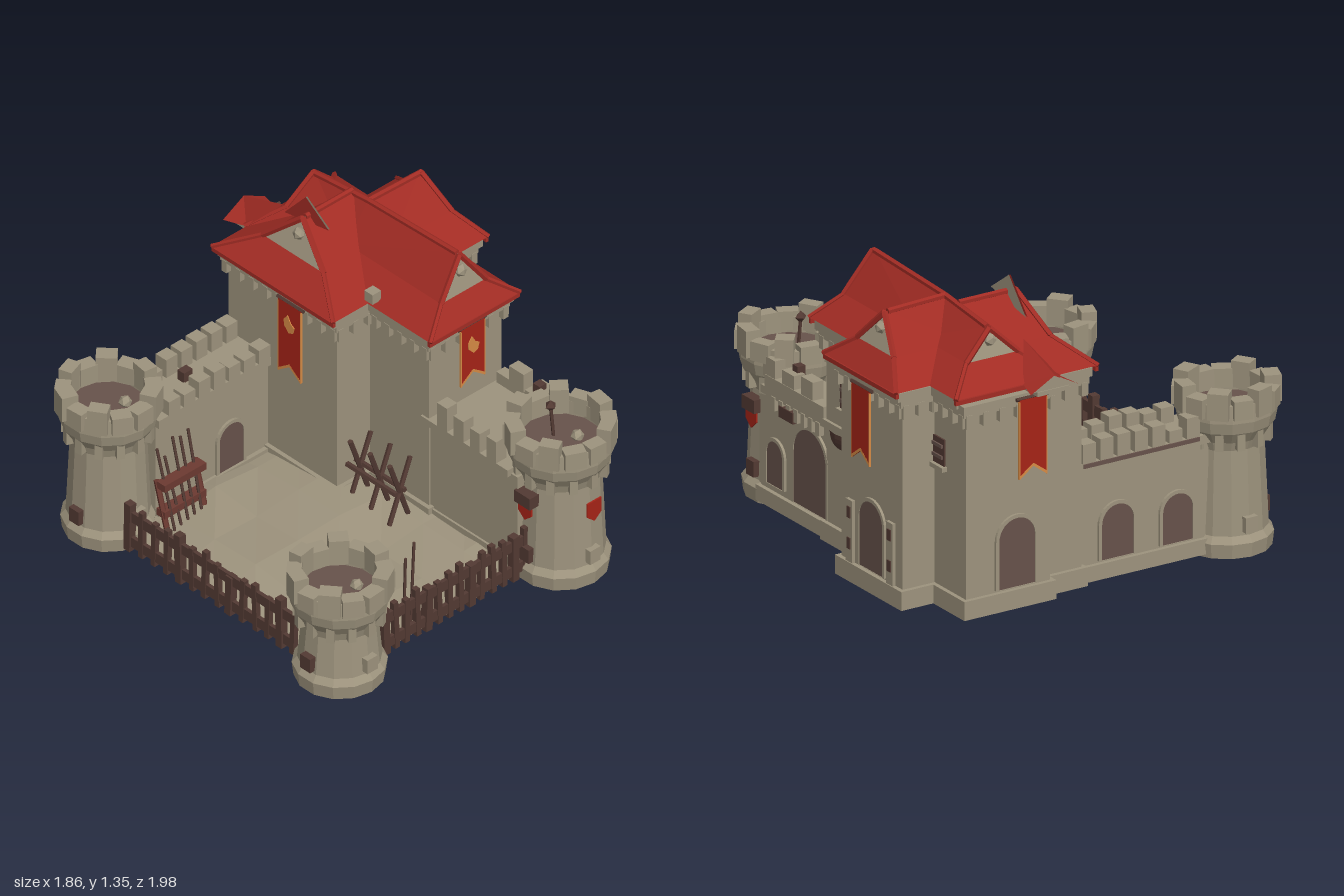
import * as THREE from 'three';

const mat = (name, hex, side = THREE.FrontSide) => {
  const m = new THREE.MeshStandardMaterial({ color: hex, flatShading: true, side });
  m.name = name;
  return m;
};
const stone = mat('stone', 0x9d937d, THREE.DoubleSide);
const red = mat('roofRed', 0xa22c24, THREE.DoubleSide);
const clothRed = mat('clothRed', 0xa62317, THREE.DoubleSide);
const floorBrown = mat('floorBrown', 0x67524b);
const wood = mat('darkWood', 0x533a33);
const rackWood = mat('rackWood', 0x6c3a31);
const gold = mat('gold', 0xd68a45, THREE.DoubleSide);

// Small seeded generator for the hand-hewn irregularity
let seed = 7;
const rnd = (a, b) => {
  seed = (seed * 16807) % 2147483647;
  return a + (b - a) * (seed / 2147483647);
};

function add(parent, name, geo, material, x = 0, y = 0, z = 0, ry = 0) {
  const m = new THREE.Mesh(geo, material);
  m.name = name;
  m.position.set(x, y, z);
  m.rotation.y = ry;
  parent.add(m);
  return m;
}
// Box given by its minimum and maximum corners
function block(parent, name, material, x0, x1, y0, y1, z0, z1) {
  return add(parent, name, new THREE.BoxGeometry(x1 - x0, y1 - y0, z1 - z0), material,
    (x0 + x1) / 2, (y0 + y1) / 2, (z0 + z1) / 2);
}
// Round bar between two points
function bar(parent, name, a, b, r, material, sides = 5) {
  const p = new THREE.Vector3(...a), q = new THREE.Vector3(...b), d = q.clone().sub(p);
  const m = add(parent, name, new THREE.CylinderGeometry(r, r, d.length(), sides), material);
  m.position.copy(p).add(q).multiplyScalar(0.5);
  m.quaternion.setFromUnitVectors(new THREE.Vector3(0, 1, 0), d.normalize());
}
const plate = (pts, depth = 0.008) =>
  new THREE.ExtrudeGeometry(new THREE.Shape(pts.map(p => new THREE.Vector2(...p))), { depth, bevelEnabled: false });
function faces(tris) {
  const g = new THREE.BufferGeometry();
  g.setAttribute('position', new THREE.Float32BufferAttribute(tris.flat(2), 3));
  g.computeVertexNormals();
  return g;
}

// Arched door on a wall facing ry, with a slim stone surround
function arch(parent, name, w, h, x, y, z, ry) {
  const outline = (hw, top, Cls) => {
    const s = new Cls();
    s.moveTo(-hw, 0).lineTo(hw, 0).lineTo(hw, top - hw);
    s.absarc(0, top - hw, hw, 0, Math.PI, false);
    return s.lineTo(-hw, 0);
  };
  const opts = { depth: 0.008, bevelEnabled: false, curveSegments: 8 };
  add(parent, name, new THREE.ExtrudeGeometry(outline(w / 2, h, THREE.Shape), opts), floorBrown, x, y, z, ry);
  const frame = outline(w / 2 + 0.016, h + 0.016, THREE.Shape);
  frame.holes.push(outline(w / 2, h, THREE.Path));
  add(parent, name + 'Surround', new THREE.ExtrudeGeometry(frame, { ...opts, depth: 0.012 }), stone, x, y, z, ry);
}

// Swallow-tailed banner with gold hems, hanging from a rod
function banner(parent, h, x, top, z, ry, emblem) {
  const g = new THREE.Group();
  g.name = 'banner';
  g.position.set(x, top, z);
  g.rotation.y = ry;
  const w = 0.068;
  add(g, 'bannerCloth', plate([[-w, 0], [-w, -h], [0, 0.05 - h], [w, -h], [w, 0]]), clothRed);
  add(g, 'bannerTrim', plate([[-w, -h], [0, 0.05 - h], [w, -h], [w, 0.014 - h], [0, 0.064 - h], [-w, 0.014 - h]], 0.0095), gold, 0, 0, -0.001);
  for (const s of [-1, 1]) block(g, 'bannerHem', gold, s * w - 0.002, s * w + 0.002, -h, -0.01, -0.001, 0.0085);
  if (emblem) add(g, 'bannerFlame', plate([[0, -0.15], [0.025, -0.14], [0.034, -0.11], [0.012, -0.095], [-0.008, -0.06], [-0.03, -0.09], [-0.028, -0.12]], 0.004), gold, 0, 0, 0.008);
  bar(g, 'bannerRod', [-0.08, 0, 0], [0.08, 0, 0], 0.009, wood);
  parent.add(g);
}

// Round tower; top is the merlon height
function tower(parent, name, x, z, r, top, shields) {
  const t = new THREE.Group();
  t.name = name;
  t.position.set(x, 0, z);
  const deck = top - 0.16, R = r + 0.042;
  const prof = [[0, 0.02], [r + 0.02, 0.005], [r + 0.028, 0.07], [r + 0.005, 0.1], [r - 0.012, deck - 0.12], [r, deck - 0.08],
    [R - 0.01, deck - 0.03], [R, deck + 0.02], [R - 0.004, top - 0.06], [R - 0.05, top - 0.06], [R - 0.05, deck + 0.02]];
  add(t, 'towerBody', new THREE.LatheGeometry(prof.map(p => new THREE.Vector2(...p)), 14), stone);
  add(t, 'towerFloor', new THREE.CylinderGeometry(R - 0.045, R - 0.045, 0.02, 14), floorBrown, 0, deck + 0.02, 0);
  for (let i = 0; i < 13; i++) {
    const a = i / 13 * Math.PI * 2, h = i % 2 ? 0.07 : 0.035;
    add(t, 'merlon', new THREE.BoxGeometry(rnd(0.08, 0.095), h + 0.05, rnd(0.06, 0.075)), stone,
      Math.sin(a) * (R - 0.025), top - 0.095 + h / 2, Math.cos(a) * (R - 0.025), a + rnd(-0.1, 0.1));
    add(t, 'corbel', new THREE.BoxGeometry(0.035, 0.08, 0.04), stone, Math.sin(a) * (r + 0.003), deck - 0.07, Math.cos(a) * (r + 0.003), a);
  }
  add(t, 'rubble', new THREE.IcosahedronGeometry(0.03), stone, 0.06, deck + 0.04, 0.04);
  // Brackets and slits round the shaft, with hanging shields where wanted
  [0, 1, 2, 3].forEach(i => {
    const a = i * Math.PI / 2, s = Math.sin(a), c = Math.cos(a), y = deck - 0.23;
    if (shields) {
      add(t, 'shield', plate([[-0.04, 0.05], [-0.04, -0.02], [0, -0.055], [0.04, -0.02], [0.04, 0.05]]), clothRed, s * (r + 0.012), y, c * (r + 0.012), a);
      if (i) add(t, 'shieldBracket', new THREE.BoxGeometry(0.095, 0.06, 0.07), wood, s * r, y + 0.055, c * r, a);
    }
    add(t, 'lowSlit', new THREE.BoxGeometry(0.06, 0.07, 0.05), i % 2 ? wood : stone, s * r, 0.15, c * r, a);
  });
  parent.add(t);
}

// Roof arm running out along local +z: flared eaves, hipped foot and a small stone gable above
function roofArm(parent, name, x, z, ry, L, h, ridge0, ridge1, in1, in2) {
  const g = new THREE.Group();
  g.name = name;
  g.position.set(x, 0, z);
  g.rotation.y = ry;
  const e = 1.01, m = 1.11, w = h * 0.5, zm = L - in1, zr = L - in2;
  const tris = [];
  const quad = (a, b, c, d) => tris.push([a, b, c], [a, c, d]);
  const top0 = [0, ridge0, 0], top1 = [0, ridge1, zr];
  for (const s of [1, -1]) {
    quad([s * h, e, 0], [s * w, m, 0], [s * w, m, zm], [s * h, e, L]);
    quad([s * w, m, 0], top0, top1, [s * w, m, zm]);
    bar(g, 'gableEdge', [s * w, m, zm], [0, ridge1, zr + 0.015], 0.014, red);
    bar(g, 'hipCap', [s * h, e, L], [s * w, m, zm], 0.011, red);
  }
  quad([-h, e, L], [h, e, L], [w, m, zm], [-w, m, zm]);
  add(g, 'roofSlopes', faces(tris), red);
  add(g, 'gable', faces([[[-w, m, zm], [w, m, zm], [0, ridge1, zr]]]), stone);
  add(g, 'gableStone', new THREE.IcosahedronGeometry(0.03), stone, 0, (m + ridge1) / 2 + 0.01, (zm + zr) / 2);
  bar(g, 'ridgeCap', top0, top1, 0.014, red, 6);
  block(g, 'eaveEdge', red, -h, h, e - 0.025, e - 0.005, L - 0.015, L);
  block(g, 'eaveSoffit', stone, -h + 0.015, h - 0.015, 0.96, 1.0, 0, L - 0.02);
  parent.add(g);
}

// Wooden palisade between two ground points
function fence(parent, x0, z0, x1, z1) {
  const g = new THREE.Group();
  g.name = 'fence';
  const n = 13, ry = Math.atan2(-(z1 - z0), x1 - x0), len = Math.hypot(x1 - x0, z1 - z0);
  for (const y of [0.08, 0.21]) add(g, 'rail', new THREE.BoxGeometry(len, 0.05, 0.018), wood, (x0 + x1) / 2, y, (z0 + z1) / 2, ry);
  for (let i = 0; i <= n; i++) {
    const t = i / n, big = i % 4 === 0, h = rnd(0.2, 0.25);
    add(g, 'picket', new THREE.BoxGeometry(big ? 0.036 : 0.026, h, big ? 0.036 : 0.024), wood,
      x0 + (x1 - x0) * t, 0.03 + h / 2, z0 + (z1 - z0) * t, ry).rotation.z = rnd(-0.05, 0.05);
  }
  parent.add(g);
}

// Row of blocks from a to b (merlons, corbels)
function row(parent, name, n, x0, z0, x1, z1, y, sx, sy, sz, vary = 0) {
  for (let i = 0; i < n; i++) {
    const t = i / (n - 1), h = sy * (1 + rnd(-vary, vary));
    add(parent, name, new THREE.BoxGeometry(sx, h, sz), stone, x0 + (x1 - x0) * t, y + h / 2, z0 + (z1 - z0) * t);
  }
}

export function createModel() {
  const root = new THREE.Group();
  root.name = 'castle';

  // Courtyard: a thin uneven sheet of ground, higher towards the back
  const yard = new THREE.PlaneGeometry(1.46, 1.5, 6, 6).rotateX(-Math.PI / 2), p = yard.attributes.position;
  for (let i = 0; i < p.count; i++) {
    const edge = Math.abs(p.getX(i)) > 0.7 || Math.abs(p.getZ(i)) > 0.7;
    p.setY(i, edge ? 0 : rnd(0, 0.04) + (p.getZ(i) < 0.1 ? 0.03 : 0));
  }
  add(root, 'yard', yard, stone, -0.04, 0.04, -0.015);

  // Towers
  tower(root, 'backTower', -0.7, -0.73, 0.175, 0.76, false);
  tower(root, 'frontTower', -0.7, 0.68, 0.175, 0.57, false);
  tower(root, 'gateTower', 0.5, 0.76, 0.188, 0.775, true);

  // Back curtain wall
  block(root, 'backWall', stone, -0.56, 0.12, 0.02, 0.53, -0.81, -0.59);
  block(root, 'backWallFoot', stone, -0.56, 0.12, 0.02, 0.09, -0.83, -0.57);
  block(root, 'backWalk', stone, -0.56, 0.12, 0.52, 0.56, -0.83, -0.57);
  block(root, 'backWalkBoard', floorBrown, -0.5, 0.08, 0.54, 0.558, -0.836, -0.82);
  block(root, 'wallBarrel', wood, -0.3, -0.25, 0.56, 0.61, -0.73, -0.69);
  row(root, 'merlon', 7, -0.47, -0.8, 0.05, -0.8, 0.56, 0.065, 0.075, 0.065, 0.3);
  row(root, 'merlon', 7, -0.47, -0.6, 0.05, -0.6, 0.56, 0.065, 0.075, 0.065, 0.3);
  arch(root, 'backDoor', 0.16, 0.24, -0.1, 0.1, -0.81, Math.PI);
  arch(root, 'backDoor', 0.15, 0.22, -0.4, 0.1, -0.81, Math.PI);
  arch(root, 'yardDoor', 0.14, 0.23, -0.13, 0.09, -0.59, 0);

  // Side curtain wall
  block(root, 'sideWall', stone, 0.29, 0.69, 0.02, 0.53, 0.15, 0.72);
  block(root, 'sideWallFoot', stone, 0.28, 0.71, 0.02, 0.09, 0.15, 0.72);
  block(root, 'sideWalk', stone, 0.27, 0.71, 0.52, 0.555, 0.15, 0.68);
  block(root, 'sideParapet', stone, 0.66, 0.71, 0.55, 0.61, 0.2, 0.65);
  row(root, 'merlon', 4, 0.3, 0.28, 0.3, 0.58, 0.55, 0.06, 0.11, 0.06, 0.2);
  row(root, 'merlon', 3, 0.68, 0.33, 0.68, 0.62, 0.6, 0.055, 0.08, 0.09, 0.3);
  row(root, 'corbel', 7, 0.7, 0.24, 0.7, 0.58, 0.47, 0.03, 0.06, 0.03);
  block(root, 'wallBarrel', wood, 0.635, 0.675, 0.6, 0.7, 0.45, 0.49);
  block(root, 'doorAwning', wood, 0.69, 0.72, 0.46, 0.51, 0.42, 0.53);
  arch(root, 'sideGate', 0.25, 0.36, 0.69, 0.1, 0.32, Math.PI / 2);
  arch(root, 'sideDoor', 0.12, 0.2, 0.69, 0.12, 0.59, Math.PI / 2);

  // Keep: three interlocking blocks, each with a foot and a top band
  const keep = new THREE.Group();
  keep.name = 'keep';
  root.add(keep);
  for (const [x0, x1, z0, z1] of [[0.28, 0.7, -0.88, 0.19], [0.09, 0.6, -0.83, -0.17], [0.4, 0.86, -0.64, -0.17]]) {
    block(keep, 'keepWall', stone, x0, x1, 0.02, 0.98, z0, z1);
    block(keep, 'keepFoot', stone, x0 - 0.02, x1 + 0.02, 0.015, 0.1, z0 - 0.02, z1 + 0.02);
    block(keep, 'keepBand', stone, x0 - 0.025, x1 + 0.025, 0.93, 0.98, z0 - 0.025, z1 + 0.025);
    const nx = Math.round((x1 - x0) / 0.07), nz = Math.round((z1 - z0) / 0.07);
    for (const z of [z0 - 0.01, z1 + 0.01]) row(keep, 'corbel', nx, x0, z, x1, z, 0.88, 0.03, 0.06, 0.035);
    for (const x of [x0 - 0.01, x1 + 0.01]) row(keep, 'corbel', nz, x, z0, x, z1, 0.88, 0.035, 0.06, 0.03);
  }
  block(keep, 'keepLedge', stone, 0.69, 0.715, 0.53, 0.56, -0.17, 0.2);
  add(keep, 'wallBasin', new THREE.SphereGeometry(0.08, 10, 6, 0, Math.PI * 2, Math.PI / 2, Math.PI / 2), wood, 0.69, 0.53, 0.09).scale.x = 0.45;
  arch(keep, 'keepDoor', 0.18, 0.31, 0.86, 0.11, -0.41, Math.PI / 2);
  arch(keep, 'keepBackDoor', 0.18, 0.31, 0.45, 0.11, -0.88, Math.PI);
  for (const z of [-0.25, -0.56]) {
    block(keep, 'doorPillar', stone, 0.86, 0.875, 0.1, 0.38, z - 0.025, z + 0.025);
    for (const y of [0.16, 0.3]) block(keep, 'pillarSlot', wood, 0.875, 0.88, y, y + 0.05, z - 0.012, z + 0.012);
  }
  for (const z of [0.02, -0.67]) {
    block(keep, 'window', wood, 0.69, 0.708, 0.65, 0.77, z - 0.055, z + 0.055);
    for (const y of [0.68, 0.73]) block(keep, 'windowBar', floorBrown, 0.7, 0.716, y, y + 0.015, z - 0.045, z + 0.045);
    block(keep, 'windowSill', stone, 0.69, 0.725, 0.63, 0.65, z - 0.065, z + 0.065);
  }
  banner(keep, 0.3, 0.49, 0.97, 0.23, 0, true);
  banner(keep, 0.34, 0.895, 0.94, -0.38, Math.PI / 2, false);
  banner(keep, 0.36, 0.4, 0.97, -0.93, Math.PI, false);
  banner(keep, 0.38, 0.05, 0.95, -0.41, -Math.PI / 2, true);

  // Roof: four arms meeting over the keep
  const roof = new THREE.Group();
  roof.name = 'roof';
  root.add(roof);
  roofArm(roof, 'frontRoof', 0.49, -0.4, 0, 0.65, 0.26, 1.27, 1.29, 0.07, 0.11);
  roofArm(roof, 'sideRoof', 0.49, -0.4, Math.PI / 2, 0.43, 0.28, 1.27, 1.26, 0.08, 0.14);
  roofArm(roof, 'backRoof', 0.49, -0.4, Math.PI, 0.48, 0.26, 1.27, 1.235, 0.12, 0.16);
  roofArm(roof, 'innerRoof', 0.49, -0.5, -Math.PI / 2, 0.46, 0.37, 1.27, 1.27, 0.12, 0.19);
  // Thin raised gable: stone inside, tiled outside
  const gable = [[[0.25, 1.2, -0.65], [0.25, 1.35, -0.52], [0.25, 1.25, -0.38]]];
  add(roof, 'tallGable', faces(gable), stone);
  add(roof, 'tallGableTiles', faces(gable), red, -0.008);
  // Back dormer spreading out past the eave
  const ridgeIn = [0.32, 1.15, -0.74], ridgeOut = [0.32, 1.065, -0.98];
  const dormer = [-1, 1].flatMap(s => {
    const valley = [0.32 + s * 0.09, 1.01, -0.87], corner = [0.32 + s * 0.12, 1.0, -0.98];
    return [[ridgeIn, valley, ridgeOut], [valley, corner, ridgeOut]];
  });
  add(roof, 'dormerRoof', faces(dormer), red);
  add(roof, 'dormerFront', faces([[[0.43, 1.0, -0.965], [0.21, 1.0, -0.965], [0.32, 1.06, -0.965]]]), stone);
  block(roof, 'dormerBracket', stone, 0.24, 0.4, 0.98, 1.0, -0.97, -0.87);
  block(roof, 'chimneyStub', stone, 0.22, 0.27, 1.03, 1.08, -0.14, -0.09);

  // Palisades
  fence(root, -0.5, 0.74, 0.31, 0.74);
  fence(root, -0.775, -0.52, -0.775, 0.48);

  // Weapon rack by the back wall
  for (const x of [-0.61, -0.39]) bar(root, 'rackPost', [x, 0.05, -0.46], [x, 0.3, -0.53], 0.014, rackWood);
  for (const y of [0.13, 0.27]) block(root, 'rackRail', rackWood, -0.62, -0.38, y, y + 0.035, -0.52, -0.47);
  for (let i = 0; i < 5; i++) bar(root, 'spear', [-0.58 + i * 0.04, 0.06, -0.45], [-0.59 + i * 0.045, rnd(0.38, 0.48), -0.55], 0.007, wood);

  // Crossed stakes by the keep and loose spears in the yard
  for (const z of [-0.1, 0.02, 0.14]) {
    bar(root, 'stake', [0.1, 0.06, z], [0.22, 0.36, z], 0.012, wood);
    bar(root, 'stake', [0.21, 0.06, z], [0.1, 0.37, z], 0.012, wood);
  }
  for (const x of [0.12, 0.17]) bar(root, 'stakeBeam', [x, 0.22, -0.14], [x, 0.22, 0.16], 0.013, wood);
  bar(root, 'spear', [-0.3, 0.05, 0.69], [-0.28, 0.47, 0.69], 0.007, wood);
  bar(root, 'spear', [-0.33, 0.05, 0.68], [-0.32, 0.4, 0.68], 0.007, wood);
  bar(root, 'towerPike', [0.5, 0.62, 0.72], [0.49, 0.8, 0.71], 0.008, wood);
  add(root, 'pikeHead', new THREE.OctahedronGeometry(0.028), wood, 0.49, 0.8, 0.71);
  return root;
}
